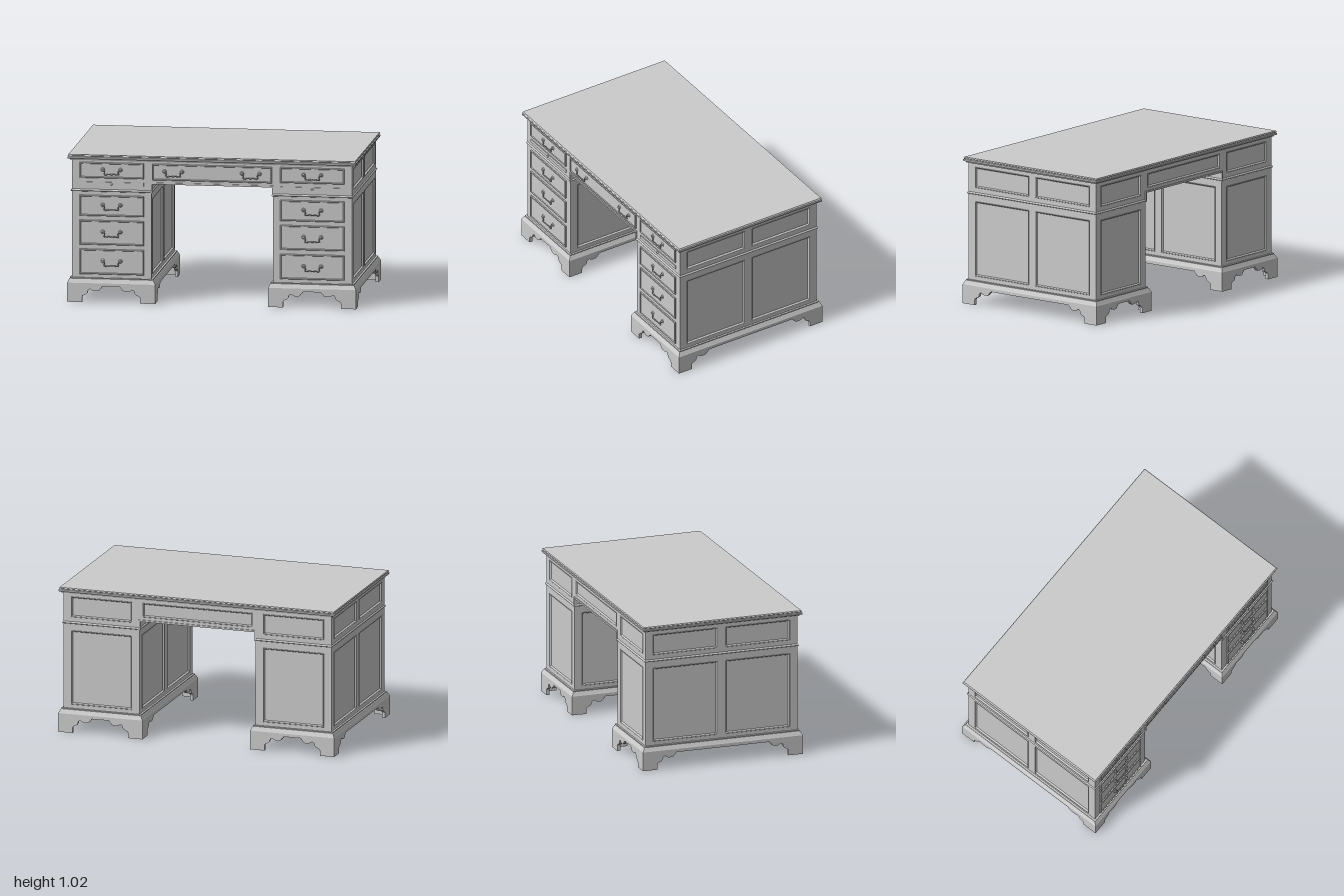
import * as THREE from 'three';

const material = new THREE.MeshStandardMaterial({ color: 0xcccccc, side: THREE.DoubleSide });
const CX = 0.695, HALF_W = 0.275, HALF_Z = 0.555; // pedestal centre and half sizes
const FRAME = 0.013;                              // depth of the panel frames

function add(parent, name, geometry, x = 0, y = 0, z = 0) {
  const mesh = new THREE.Mesh(geometry, material);
  mesh.name = name;
  mesh.position.set(x, y, z);
  parent.add(mesh);
  return mesh;
}

// Sweeps a profile of [outset, z] points round a w x h rectangle, capped at its end.
function mouldedRect(w, h, profile, closeStart = false) {
  const pos = [];
  const loop = ([o, z]) => [[-1, -1], [1, -1], [1, 1], [-1, 1]]
    .map(([sx, sy]) => [sx * (w / 2 + o), sy * (h / 2 + o), z]);
  const quad = (a, b, c, d) => pos.push(...a, ...b, ...c, ...a, ...c, ...d);
  const loops = profile.map(loop);
  for (let i = 0; i < loops.length - 1; i++) {
    for (let k = 0; k < 4; k++) {
      const n = (k + 1) % 4;
      quad(loops[i][k], loops[i][n], loops[i + 1][n], loops[i + 1][k]);
    }
  }
  quad(...loops[loops.length - 1]);
  if (closeStart) quad(...[...loops[0]].reverse());
  const geometry = new THREE.BufferGeometry();
  geometry.setAttribute('position', new THREE.Float32BufferAttribute(pos, 3));
  geometry.computeVertexNormals();
  return geometry;
}

// The same, lying flat: the profile is [outset, y].
const mouldedSlab = (w, d, profile) => mouldedRect(w, d, profile, true).rotateX(-Math.PI / 2);

// A frame board with a moulded sunk panel in each opening [x0, x1, y0, y1].
function panelledFace(name, x0, x1, y0, y1, openings) {
  const face = new THREE.Group();
  face.name = name;
  const rect = (Type, a, b, c, d) => new Type([[a, c], [b, c], [b, d], [a, d]]
    .map(([x, y]) => new THREE.Vector2(x, y)));
  const shape = rect(THREE.Shape, x0, x1, y0, y1);
  for (const o of openings) shape.holes.push(rect(THREE.Path, ...o));
  add(face, 'frame', new THREE.ExtrudeGeometry(shape, { depth: FRAME, bevelEnabled: false }), 0, 0, -FRAME);
  for (const [a, b, c, d] of openings) {
    const profile = [[0, -0.001], [-0.002, 0.002], [-0.005, 0.001], [-0.007, -0.006], [-0.011, -0.011]];
    add(face, 'sunkPanel', mouldedRect(b - a, d - c, profile), (a + b) / 2, (c + d) / 2, 0);
  }
  return face;
}

// A box-shaped carcass with framed faces on all four sides.
function carcass(name, cx, halfW, y0, y1, backOpenings, sideOpenings) {
  const group = new THREE.Group();
  group.name = name;
  group.position.x = cx;
  add(group, 'core', new THREE.BoxGeometry(2 * (halfW - FRAME), y1 - y0, 2 * (HALF_Z - FRAME)), 0, (y0 + y1) / 2, 0);
  const front = panelledFace('frontFrame', -halfW, halfW, y0, y1, []);
  front.position.z = HALF_Z;
  const back = panelledFace('backFrame', -halfW, halfW, y0, y1, backOpenings);
  back.position.z = -HALF_Z;
  back.rotation.y = Math.PI;
  group.add(front, back);
  const hz = HALF_Z - FRAME;
  for (const s of [-1, 1]) {
    const side = panelledFace('sideFrame', -hz, hz, y0, y1, sideOpenings);
    side.position.x = s * halfW;
    side.rotation.y = s * Math.PI / 2;
    group.add(side);
  }
  return group;
}

// Drop handle: two turned roses and a swan-neck bail.
function handle(x, y) {
  const group = new THREE.Group();
  group.name = 'handle';
  group.position.set(x, y, 0.56);
  for (const s of [-1, 1]) {
    add(group, 'rose', new THREE.CylinderGeometry(0.009, 0.015, 0.006, 16).rotateX(Math.PI / 2), s * 0.061, 0, 0.003);
    add(group, 'stud', new THREE.SphereGeometry(0.007, 10, 8), s * 0.061, 0, 0.009);
  }
  const half = [[0.061, 0], [0.05, -0.008], [0.047, -0.02], [0.051, -0.031], [0.04, -0.035], [0.02, -0.031]];
  const points = [...half.map(([a, b]) => [-a, b]), [0, -0.033], ...half.reverse()]
    .map(([a, b]) => new THREE.Vector3(a, b, 0.011));
  add(group, 'bail', new THREE.TubeGeometry(new THREE.CatmullRomCurve3(points), 40, 0.004, 6));
  return group;
}

// Drawer front with a raised bead round its edge.
function drawer(name, x, w, y0, y1, handleXs) {
  const group = new THREE.Group();
  group.name = name;
  const profile = [[0, -0.005], [0, 0.008], [-0.003, 0.011], [-0.007, 0.011], [-0.01, 0.006]];
  add(group, 'drawerFront', mouldedRect(w, y1 - y0, profile), x, (y0 + y1) / 2, HALF_Z);
  for (const hx of handleXs) group.add(handle(hx, (y0 + y1) / 2 + 0.006));
  return group;
}

// Scalloped skirt board with bracket feet at both ends.
function bracketBoard(length) {
  const half = [[0, 0.133], [0, 0], [0.104, 0], [0.104, 0.035], [0.108, 0.045], [0.118, 0.051], [0.132, 0.056],
    [0.141, 0.066], [0.144, 0.079], [0.151, 0.09], [0.163, 0.092], [0.172, 0.084], [0.188, 0.079],
    [0.212, 0.079], [0.225, 0.086], [0.23, 0.096], [0.238, 0.1], [0.243, 0.111]];
  const left = half.map(([d, y]) => new THREE.Vector2(d - length / 2, y));
  const right = [...left].reverse().map((p) => new THREE.Vector2(-p.x, p.y));
  return new THREE.ExtrudeGeometry(new THREE.Shape([...left, ...right]), { depth: 0.022, bevelEnabled: false })
    .translate(0, 0, -0.022);
}

function base(cx) {
  const group = new THREE.Group();
  group.name = 'bracketBase';
  group.position.x = cx;
  const w = 0.61, d = 1.168;
  add(group, 'baseMoulding', mouldedSlab(w, d,
    [[0, 0.126], [0, 0.133], [-0.004, 0.14], [-0.013, 0.158], [-0.017, 0.161], [-0.017, 0.168]]));
  for (const s of [0, 1]) {
    const long = add(group, 'sideSkirt', bracketBoard(d), (s ? -1 : 1) * w / 2);
    long.rotation.y = s ? -Math.PI / 2 : Math.PI / 2;
    const short = add(group, 'endSkirt', bracketBoard(w), 0, 0, (s ? -1 : 1) * d / 2);
    short.rotation.y = s * Math.PI;
  }
  return group;
}

export function createModel() {
  const desk = new THREE.Group();
  desk.name = 'pedestalDesk';

  // Table top with a stepped edge
  add(desk, 'tableTop', mouldedSlab(1.996, 1.164,
    [[-0.018, 0.985], [-0.014, 0.994], [-0.003, 0.996], [0, 1.001], [0, 1.008], [-0.006, 1.011],
      [-0.006, 1.015], [-0.002, 1.018], [-0.006, 1.025]]));

  const sidePair = (y0, y1) => [[-0.5, -0.028, y0, y1], [0.028, 0.5, y0, y1]];

  for (const s of [-1, 1]) {
    const cx = s * CX;
    desk.add(base(cx));
    desk.add(carcass('pedestal', cx, HALF_W, 0.165, 0.77, [[-0.222, 0.222, 0.195, 0.72]], sidePair(0.195, 0.72)));
    desk.add(carcass('upperCase', cx, HALF_W, 0.77, 0.99, [[-0.222, 0.222, 0.815, 0.96]],
      sidePair(0.815, 0.96)));

    // Waist moulding round the joint
    add(desk, 'waistMoulding', mouldedSlab(2 * HALF_W, 2 * HALF_Z,
      [[0, 0.766], [0.005, 0.768], [0.008, 0.773], [0.005, 0.779], [0, 0.783]]), cx);

    // Drawers
    for (const [y0, y1] of [[0.193, 0.367], [0.398, 0.568], [0.598, 0.742], [0.862, 0.97]]) {
      desk.add(drawer('pedestalDrawer', cx, 0.445, y0, y1, [cx]));
    }

    // Pull-out writing slide with its knob
    add(desk, 'writingSlide', new THREE.BoxGeometry(0.445, 0.024, 0.02), cx, 0.822, 0.551);
    add(desk, 'slideKnob', new THREE.SphereGeometry(0.008, 12, 8), cx, 0.822, 0.565);
  }

  // Centre section over the kneehole
  desk.add(carcass('centreCase', 0, 0.42, 0.832, 0.99, [[-0.4, 0.4, 0.86, 0.96]], []));
  desk.add(drawer('centreDrawer', 0, 0.832, 0.857, 0.97, [-0.268, 0.268]));

  // Bead that steps up from the waist and runs under the centre section
  for (const z of [-1, 1]) {
    add(desk, 'kneeholeBead', new THREE.BoxGeometry(0.85, 0.012, 0.014), 0, 0.834, z * 0.555);
    for (const x of [-1, 1]) {
      add(desk, 'kneeholeBeadEnd', new THREE.BoxGeometry(0.01, 0.07, 0.014), x * 0.42, 0.8, z * 0.555);
    }
  }
  return desk;
}
